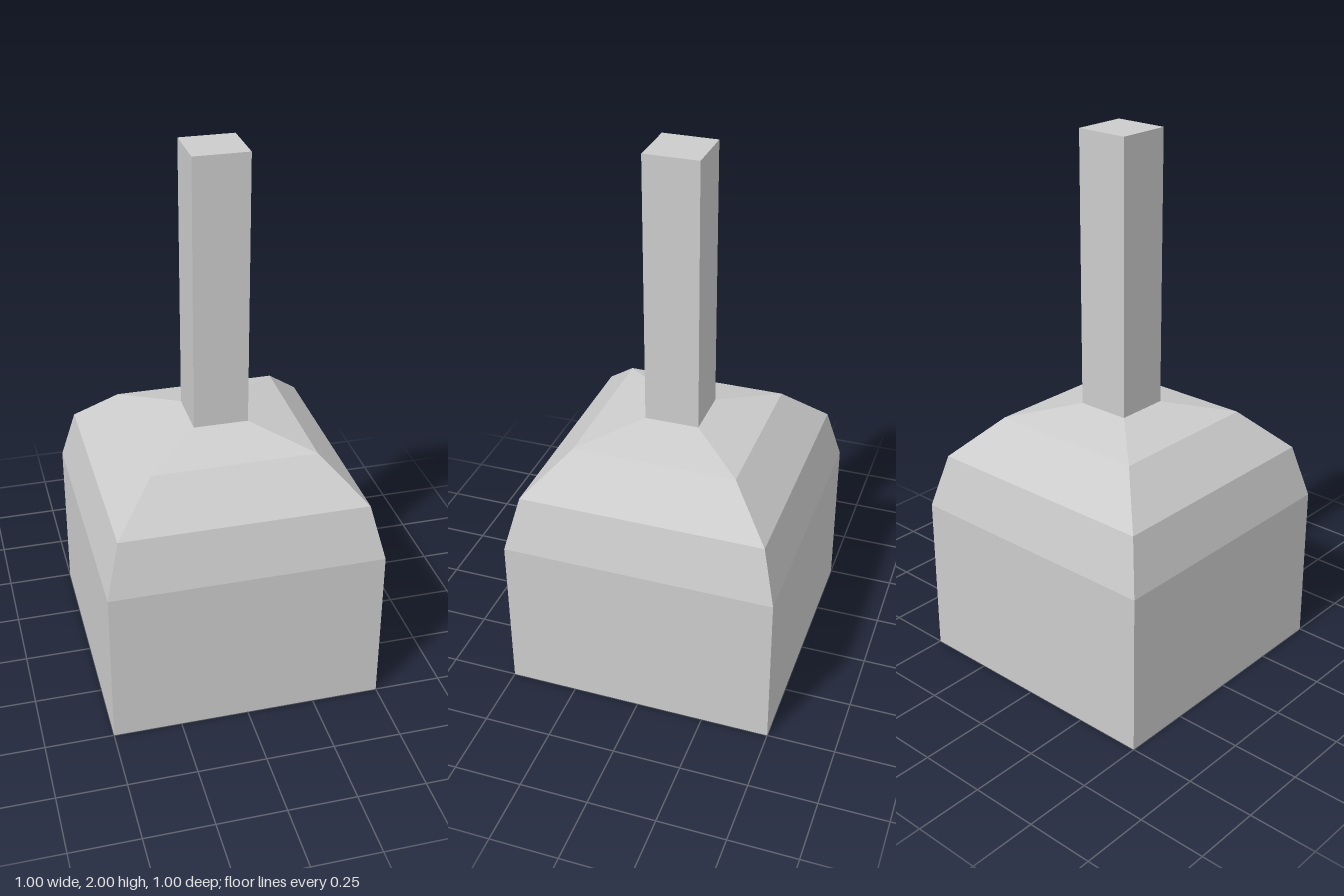
import * as THREE from 'three';

export function createModel() {
  const group = new THREE.Group();
  const grey = new THREE.MeshStandardMaterial({ color: 0xcccccc });
  grey.name = 'grey';

  // Square body with a stepped, rounded shoulder: [half width, height]
  const profile = [[0, 0], [0.5, 0], [0.5, 0.6], [0.45, 0.8], [0.3, 0.95], [0.1, 1]]
    .map(([half, y]) => new THREE.Vector2(half * Math.SQRT2, y));
  const bodyGeometry = new THREE.LatheGeometry(profile, 4, Math.PI / 4).toNonIndexed();
  bodyGeometry.computeVertexNormals(); // flat facets
  const body = new THREE.Mesh(bodyGeometry, grey);
  body.name = 'body';
  group.add(body);

  // Square neck rising from the shoulder
  const neck = new THREE.Mesh(new THREE.BoxGeometry(0.2, 1, 0.2), grey);
  neck.name = 'neck';
  neck.position.y = 1.5;
  group.add(neck);

  return group;
}
